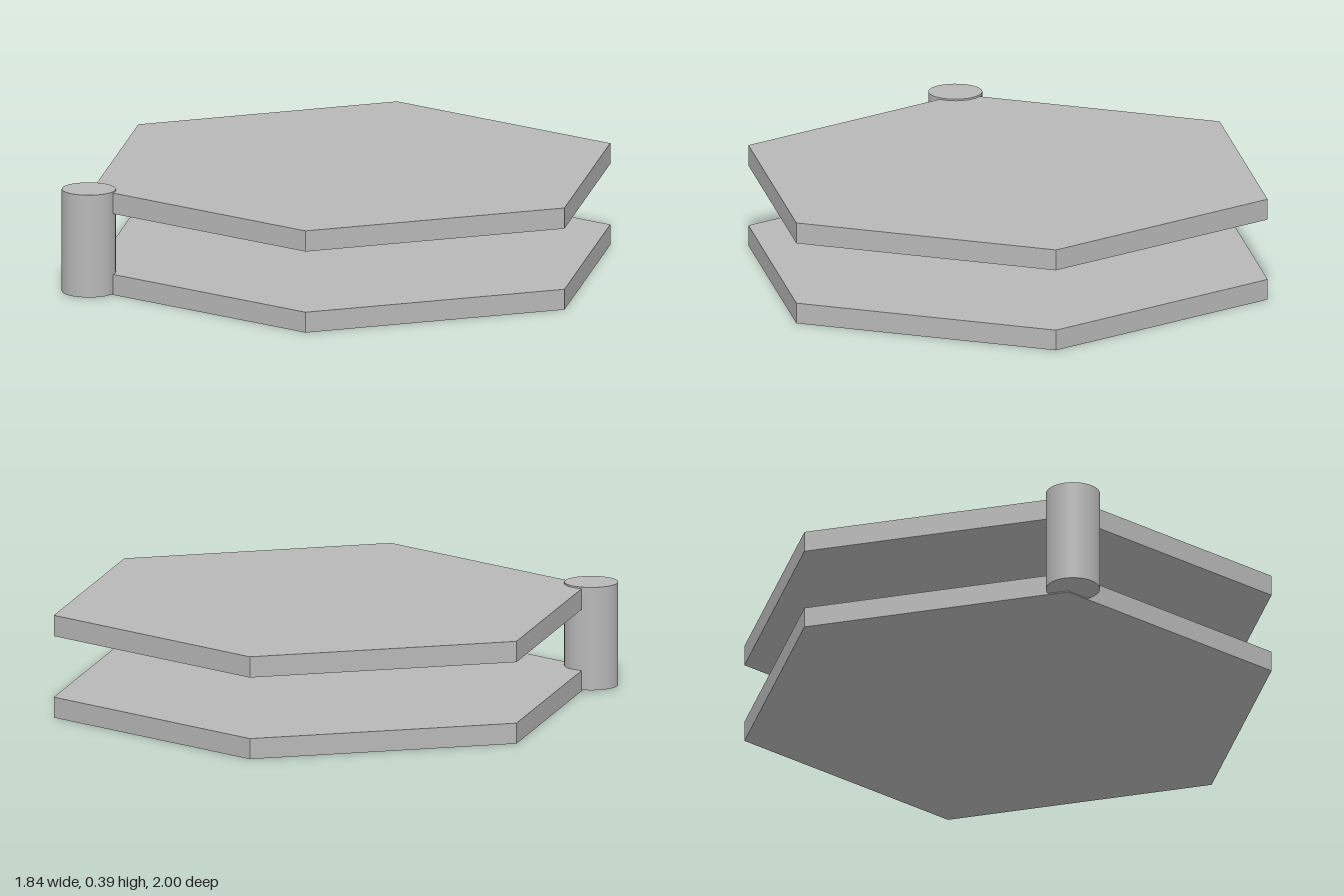
import * as THREE from 'three';

export function createModel() {
  const group = new THREE.Group();
  const grey = new THREE.MeshStandardMaterial({ color: 0xb8b8b8 });
  grey.name = 'grey';
  const flatGrey = grey.clone();
  flatGrey.flatShading = true;

  const CENTRE_X = 0.054;

  // Adds a part whose base is at height y0 and top at y1
  const add = (name, geometry, material, x, y0, y1, z) => {
    const mesh = new THREE.Mesh(geometry, material);
    mesh.name = name;
    mesh.position.set(x, (y0 + y1) / 2, z);
    group.add(mesh);
  };
  // Hexagonal plate with corners pointing to front and back
  const plate = (name, y0, y1) =>
    add(name, new THREE.CylinderGeometry(1, 1, y1 - y0, 6), flatGrey, CENTRE_X, y0, y1, 0);

  plate('bottomPlate', 0, 0.076);
  plate('topPlate', 0.302, 0.379);

  // Square block hanging under the top plate
  add('centreBlock', new THREE.BoxGeometry(0.168, 0.168, 0.168), flatGrey, CENTRE_X, 0.134, 0.302, 0);

  // Hinge pin joining the plates at one corner
  add('hingePin', new THREE.CylinderGeometry(0.098, 0.098, 0.381, 32), grey, -0.822, 0.004, 0.385, 0.522);

  return group;
}
